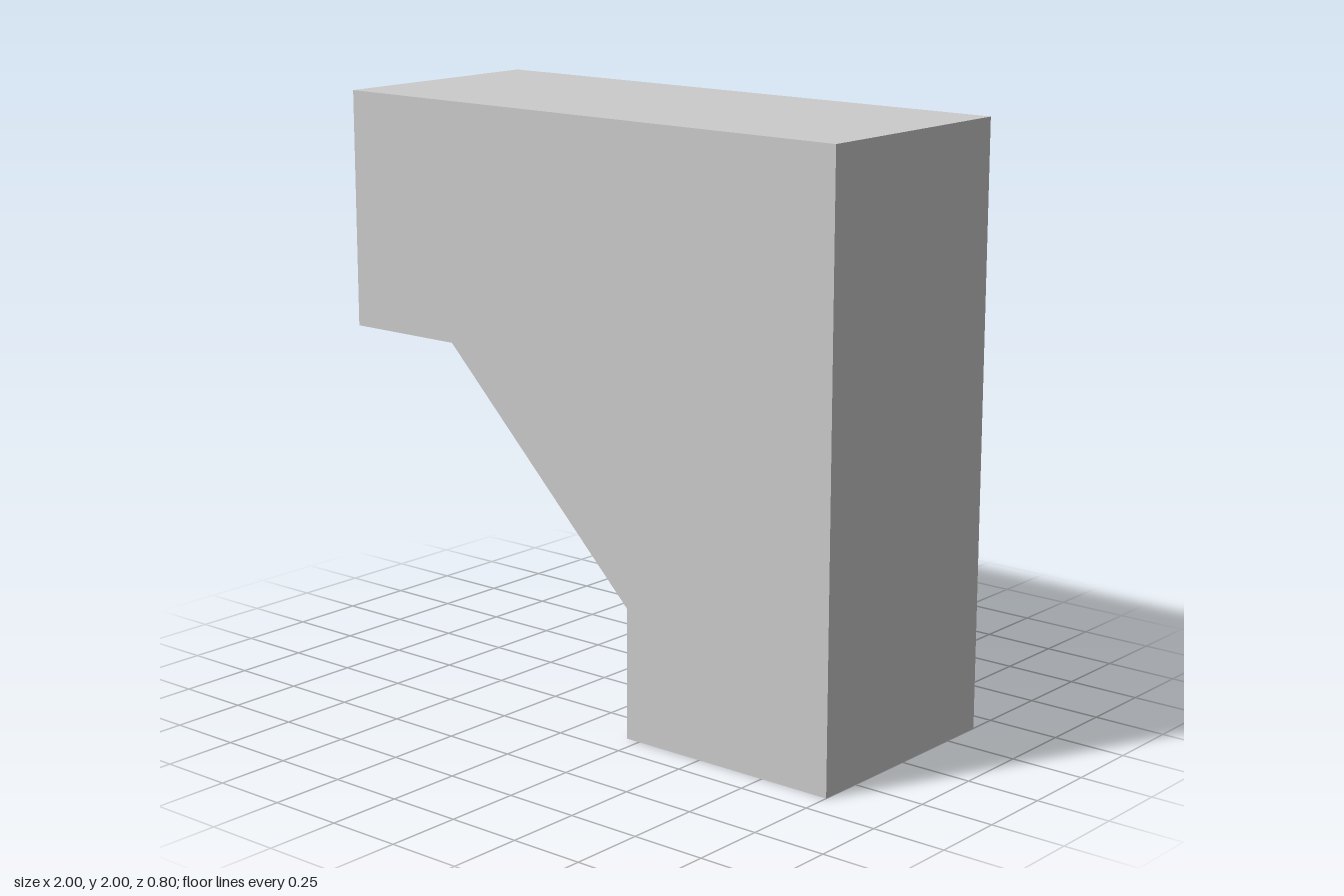
import * as THREE from 'three';

export function createModel() {
  const group = new THREE.Group();
  const material = new THREE.MeshStandardMaterial({ color: 0xcccccc, flatShading: true });

  function add(name, geometry, x, y, z) {
    const mesh = new THREE.Mesh(geometry, material);
    mesh.name = name;
    mesh.position.set(x, y, z);
    group.add(mesh);
  }

  // Horizontal beam resting on the post
  add('beam', new THREE.BoxGeometry(2, 0.8, 0.8), 0, 1.6, 0);
  add('post', new THREE.BoxGeometry(0.8, 1.2, 0.8), 0.6, 0.6, 0);

  // Triangular brace in the inner corner, a hair proud of the back
  const triangle = new THREE.Shape([
    new THREE.Vector2(0.2, 0.44),
    new THREE.Vector2(0.2, 1.2),
    new THREE.Vector2(-0.56, 1.2),
  ]);
  const brace = new THREE.ExtrudeGeometry(triangle, { depth: 0.802, bevelEnabled: false });
  add('cornerBrace', brace, 0, 0, -0.402);

  return group;
}
